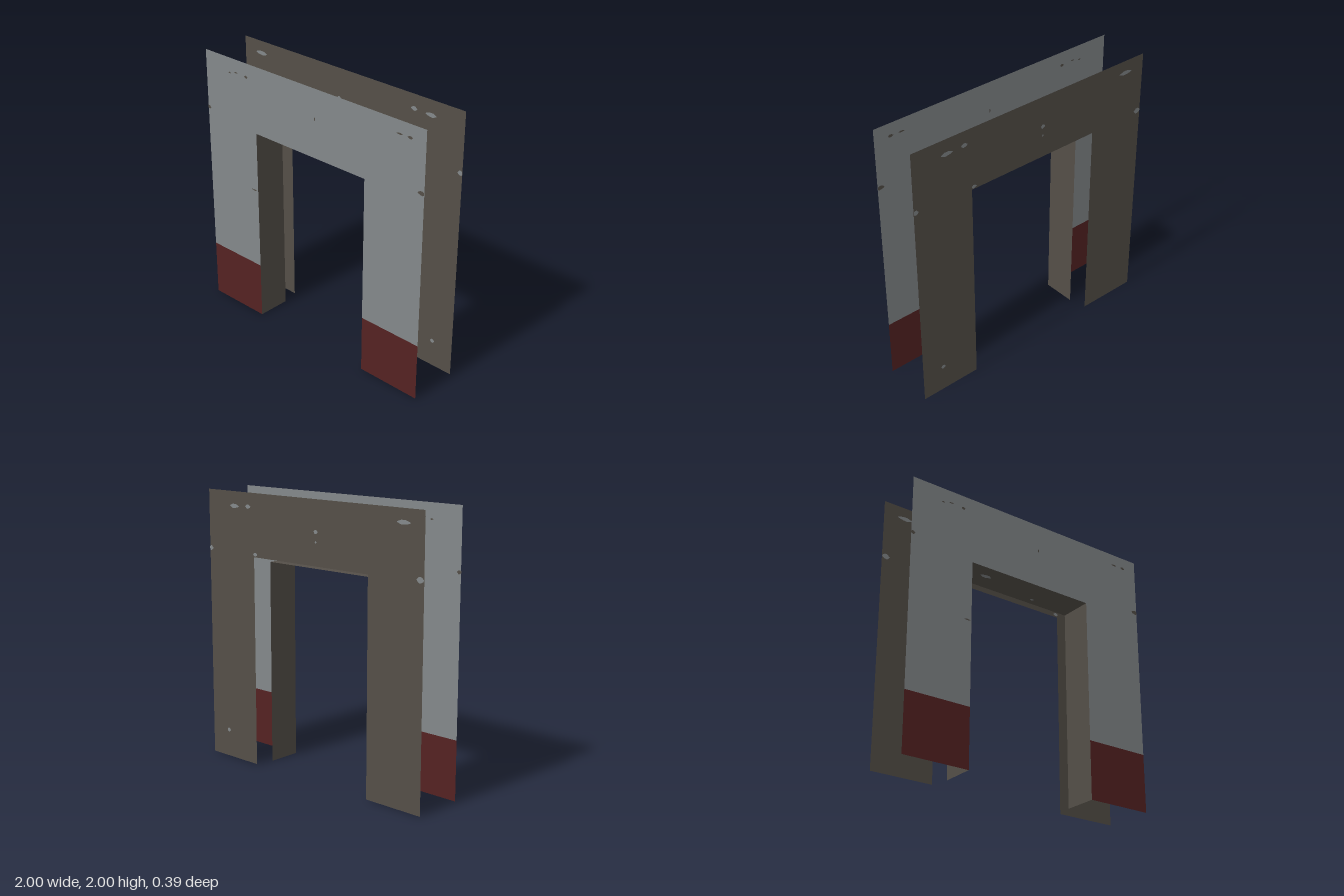
import * as THREE from 'three';

const FRONT_Z = 0.19, BACK_Z = -0.19, LINING_BACK = -0.06;
const OPEN_X = 0.505, OPEN_Y = 1.5, BAND_Y = 0.43;

const flat = (name, color) => {
  const m = new THREE.MeshStandardMaterial({ color, side: THREE.DoubleSide });
  m.name = name;
  return m;
};

// Upside-down U outline from height y0 up to 2, around an opening
function archGeometry(halfOpen, openTop, y0) {
  const points = [
    [-1, y0], [-halfOpen, y0], [-halfOpen, openTop], [halfOpen, openTop],
    [halfOpen, y0], [1, y0], [1, 2], [-1, 2],
  ].map(([x, y]) => new THREE.Vector2(x, y));
  return new THREE.ShapeGeometry(new THREE.Shape(points));
}

export function createModel() {
  const model = new THREE.Group();
  model.name = 'doorFrame';
  const grey = flat('greyPaint', 0x84888a);
  const brown = flat('darkMetal', 0x544f48);
  const red = flat('redPaint', 0x552222);

  const add = (parent, name, geometry, material, x = 0, y = 0, z = 0) => {
    const mesh = new THREE.Mesh(geometry, material);
    mesh.name = name;
    mesh.position.set(x, y, z);
    parent.add(mesh);
    return mesh;
  };

  // Small uneven paint chips [u, v, width, height] on both faces of a sheet, kept inside |u| <= limit
  const addChips = (parent, name, list, material, limit) => {
    for (const [u, v, w, h] of list) {
      const g = new THREE.CircleGeometry(0.5, 10);
      const p = g.attributes.position;
      for (let i = 0; i < p.count; i++) {
        const wobble = 1 + 0.12 * Math.sin(i * 2.3);
        const x = THREE.MathUtils.clamp(u + p.getX(i) * w * wobble, -limit, limit);
        p.setXY(i, x, v + p.getY(i) * h * wobble);
      }
      for (const side of [-1, 1]) add(parent, name, g, material, 0, 0, side * 0.003);
    }
  };

  // Front sheet with a red band at the foot of each leg
  const front = new THREE.Group();
  front.name = 'frontPanel';
  front.position.z = FRONT_Z;
  model.add(front);
  add(front, 'frontSheet', archGeometry(OPEN_X, OPEN_Y, BAND_Y), grey);
  const legWidth = 1 - OPEN_X;
  for (const side of [-1, 1]) {
    add(front, side > 0 ? 'leftRedBand' : 'rightRedBand',
      new THREE.PlaneGeometry(legWidth, BAND_Y), red, side * (1 + OPEN_X) / 2, BAND_Y / 2);
  }
  addChips(front, 'frontChip', [
    [-0.99, 1.565, 0.04, 0.025], [0.98, 1.565, 0.06, 0.03],
    [-0.59, 1.9, 0.03, 0.02], [-0.69, 1.905, 0.035, 0.008], [-0.755, 1.89, 0.025, 0.01],
    [0.79, 1.91, 0.05, 0.012], [0.875, 1.91, 0.04, 0.02],
    [0.065, 1.785, 0.01, 0.025], [-0.54, 1.05, 0.05, 0.01],
  ], brown, 1);

  // Back sheet with a slightly larger opening
  const back = new THREE.Group();
  back.name = 'backPanel';
  back.position.z = BACK_Z;
  model.add(back);
  add(back, 'backSheet', archGeometry(0.535, 1.545, 0), brown);
  addChips(back, 'backChip', [
    [0.73, 1.895, 0.09, 0.03], [0.59, 1.9, 0.05, 0.03], [0.985, 1.57, 0.04, 0.035],
    [-0.07, 1.78, 0.035, 0.03], [-0.07, 1.71, 0.015, 0.015], [-0.83, 1.91, 0.11, 0.03],
    [-0.97, 1.56, 0.06, 0.04], [0.83, 0.205, 0.035, 0.03], [0.52, 1.565, 0.04, 0.025],
  ], grey, 1);

  // Lining of the opening: two jambs and the underside of the lintel
  const depth = FRONT_Z - LINING_BACK, midZ = (FRONT_Z + LINING_BACK) / 2;
  for (const side of [-1, 1]) {
    const jamb = new THREE.Group();
    jamb.name = side > 0 ? 'leftJamb' : 'rightJamb';
    jamb.position.set(side * OPEN_X, OPEN_Y / 2, midZ);
    jamb.rotation.y = Math.PI / 2;
    model.add(jamb);
    add(jamb, 'jambSheet', new THREE.PlaneGeometry(depth, OPEN_Y), brown);
    if (side < 0) addChips(jamb, 'jambChip', [[0.055, 0.66, 0.08, 0.03]], grey, depth / 2);
  }
  const lintel = new THREE.Group();
  lintel.name = 'lintelLining';
  lintel.position.set(0, OPEN_Y, midZ);
  lintel.rotation.x = -Math.PI / 2;
  model.add(lintel);
  add(lintel, 'lintelSheet', new THREE.PlaneGeometry(OPEN_X * 2, depth), brown);
  addChips(lintel, 'lintelChip', [
    [-0.32, -0.02, 0.09, 0.035], [0.15, 0.065, 0.03, 0.02], [-0.47, 0.112, 0.03, 0.02],
  ], grey, OPEN_X);

  return model;
}
